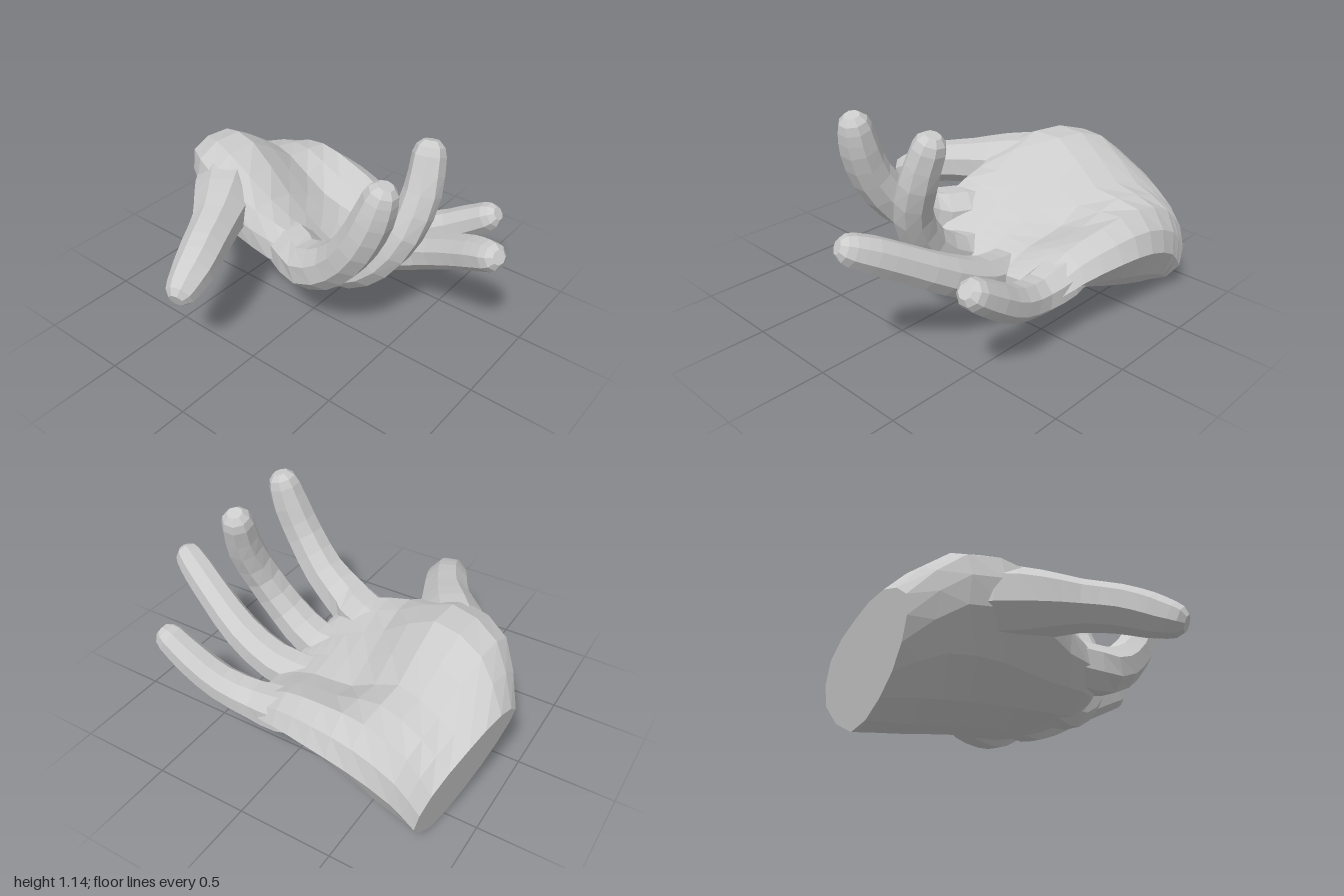
import * as THREE from 'three';

const material = new THREE.MeshStandardMaterial({ color: 0xcccccc, flatShading: true });

// Closed surface through rings of equal length, each counter-clockwise about the direction of travel
function loft(name, rings) {
  const n = rings[0].length, last = (rings.length - 1) * n;
  const points = rings.flat(), index = [];
  const centre = ring => ring.reduce((s, p) => s.add(p), new THREE.Vector3()).divideScalar(n);
  const start = points.length, end = start + 1;
  points.push(centre(rings[0]), centre(rings[rings.length - 1]));
  for (let j = 0; j < n; j++) {
    const k = (j + 1) % n;
    for (let i = 0; i < last; i += n) {
      index.push(i + j, i + k, i + n + k, i + j, i + n + k, i + n + j);
    }
    index.push(k, j, start, last + j, last + k, end);
  }
  const geometry = new THREE.BufferGeometry().setFromPoints(points);
  geometry.setIndex(index);
  geometry.computeVertexNormals();
  const mesh = new THREE.Mesh(geometry, material);
  mesh.name = name;
  return mesh;
}

// Tapered finger through points [x, y, z, radius], with a rounded tip
function finger(name, path, up, sides = 8) {
  const curve = new THREE.CatmullRomCurve3(path.map(p => new THREE.Vector3(p[0], p[1], p[2])));
  const radii = new THREE.CatmullRomCurve3(path.map((p, i) => new THREE.Vector3(i * 0.2, p[3], 0)));
  const steps = (path.length - 1) * 2, rings = [];
  const addRing = (c, t, r) => {
    const u = up.clone().addScaledVector(t, -up.dot(t)).normalize();
    const v = t.clone().cross(u);
    rings.push(Array.from({ length: sides }, (_, j) => {
      const a = (j + 0.5) / sides * Math.PI * 2;
      return c.clone().addScaledVector(u, r * Math.cos(a)).addScaledVector(v, r * Math.sin(a));
    }));
  };
  for (let i = 0; i <= steps; i++) {
    addRing(curve.getPoint(i / steps), curve.getTangent(i / steps), radii.getPoint(i / steps).y);
  }
  const c = curve.getPoint(1), t = curve.getTangent(1), r = path[path.length - 1][3];
  for (const [d, s] of [[0.5, 0.84], [0.85, 0.48]]) addRing(c.clone().addScaledVector(t, d * r), t, s * r);
  return loft(name, rings);
}

// Palm sections from wrist to knuckles: x, slant, then [z, y] from the little-finger edge over the top
const palmSections = [
  [-0.93, 1.0, [[-0.79, 0.16], [-0.74, 0.36], [-0.54, 0.5], [-0.33, 0.57], [-0.18, 0.5], [-0.23, 0.3], [-0.4, 0.1], [-0.61, 0]]],
  [-0.75, 0.6, [[-0.81, 0.28], [-0.73, 0.5], [-0.5, 0.58], [-0.22, 0.76], [0.02, 0.72], [0.02, 0.48], [-0.3, 0.13], [-0.62, 0.04]]],
  [-0.5, 0.3, [[-0.82, 0.37], [-0.7, 0.57], [-0.42, 0.6], [-0.14, 0.8], [0.17, 0.73], [0.18, 0.48], [-0.2, 0.17], [-0.58, 0.09]]],
  [-0.25, 0, [[-0.8, 0.39], [-0.66, 0.54], [-0.4, 0.46], [-0.1, 0.6], [0.17, 0.63], [0.21, 0.42], [-0.08, 0.2], [-0.5, 0.14]]],
  [-0.02, 0, [[-0.745, 0.36], [-0.62, 0.48], [-0.38, 0.42], [-0.08, 0.48], [0.15, 0.57], [0.23, 0.42], [0.02, 0.22], [-0.42, 0.17]]],
  [0.1, 0, [[-0.705, 0.32], [-0.6, 0.41], [-0.38, 0.38], [-0.08, 0.42], [0.11, 0.49], [0.18, 0.4], [0.03, 0.25], [-0.38, 0.2]]],
  [0.18, 0, [[-0.66, 0.31], [-0.58, 0.36], [-0.38, 0.35], [-0.1, 0.37], [0.02, 0.4], [0.06, 0.36], [0.0, 0.28], [-0.36, 0.25]]],
];

function palm() {
  const around = 16, along = 12;
  const loops = palmSections.map(([x, slant, pts]) => {
    const corners = pts.map(([z, y]) => new THREE.Vector3(x - slant * (0.21 * y + 0.19 * z), y, z));
    return new THREE.CatmullRomCurve3(corners, true).getPoints(around).slice(0, around);
  });
  const lines = loops[0].map((_, j) => new THREE.CatmullRomCurve3(loops.map(l => l[j])).getPoints(along));
  return loft('palm', Array.from({ length: along + 1 }, (_, i) => lines.map(l => l[i])));
}

// Each finger starts small inside the palm so that it grows out of it smoothly
export function createModel() {
  const hand = new THREE.Group();
  hand.name = 'hand';
  const zUp = new THREE.Vector3(0, 0, 1), yUp = new THREE.Vector3(0, 1, 0);
  hand.add(
    palm(),
    finger('thumb', [[-0.72, 0.57, -0.18, 0.12], [-0.6, 0.58, 0.0, 0.185], [-0.475, 0.59, 0.18, 0.165],
      [-0.375, 0.585, 0.34, 0.128], [-0.3, 0.56, 0.5, 0.117], [-0.25, 0.515, 0.63, 0.107], [-0.225, 0.475, 0.725, 0.088]], yUp),
    finger('indexFinger', [[-0.28, 0.45, 0.04, 0.09], [-0.05, 0.455, 0.11, 0.135], [0.13, 0.475, 0.19, 0.13], [0.31, 0.59, 0.22, 0.115],
      [0.45, 0.77, 0.24, 0.106], [0.525, 0.94, 0.23, 0.1], [0.555, 1.05, 0.22, 0.086]], zUp),
    finger('middleFinger', [[-0.2, 0.34, -0.06, 0.07], [0.0, 0.32, -0.05, 0.115], [0.18, 0.34, -0.06, 0.118], [0.37, 0.48, -0.06, 0.105],
      [0.49, 0.68, -0.1, 0.1], [0.525, 0.88, -0.18, 0.096], [0.51, 1.055, -0.24, 0.084]], zUp),
    finger('ringFinger', [[-0.2, 0.3, -0.28, 0.07], [0.05, 0.29, -0.29, 0.115], [0.27, 0.34, -0.32, 0.108], [0.48, 0.44, -0.31, 0.1],
      [0.68, 0.555, -0.26, 0.092], [0.83, 0.64, -0.21, 0.088], [0.92, 0.685, -0.175, 0.078]], zUp),
    finger('littleFinger', [[-0.22, 0.36, -0.6, 0.08], [0.0, 0.335, -0.6, 0.12], [0.18, 0.32, -0.6, 0.105], [0.37, 0.37, -0.63, 0.094],
      [0.53, 0.465, -0.65, 0.088], [0.655, 0.55, -0.655, 0.078]], zUp),
  );
  return hand;
}
